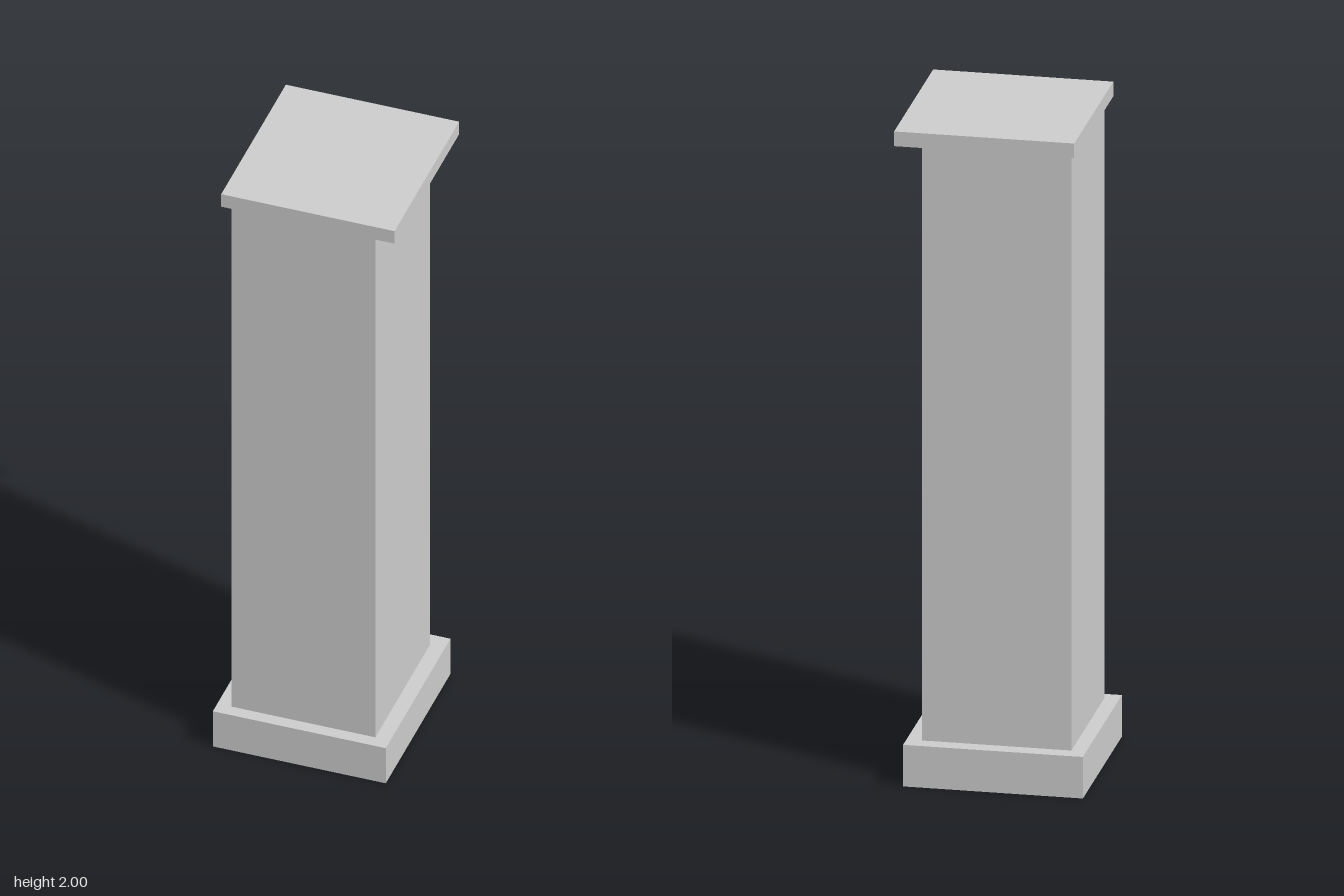
import * as THREE from 'three';

export function createModel() {
  const group = new THREE.Group();
  group.name = 'pillar';
  const material = new THREE.MeshStandardMaterial({ color: 0xcccccc, flatShading: true });

  // Box given by its extents along each axis
  function block(name, [x0, x1], [y0, y1], [z0, z1]) {
    const mesh = new THREE.Mesh(new THREE.BoxGeometry(x1 - x0, y1 - y0, z1 - z0), material);
    mesh.position.set((x0 + x1) / 2, (y0 + y1) / 2, (z0 + z1) / 2);
    mesh.name = name;
    group.add(mesh);
  }

  // Plinth, square shaft and a thin cap set slightly off centre
  block('base', [-0.278, 0.252], [0, 0.127], [-0.279, 0.279]);
  block('shaft', [-0.234, 0.206], [0.127, 1.955], [-0.23, 0.24]);
  block('cap', [-0.253, 0.278], [1.955, 2], [-0.281, 0.277]);

  return group;
}
